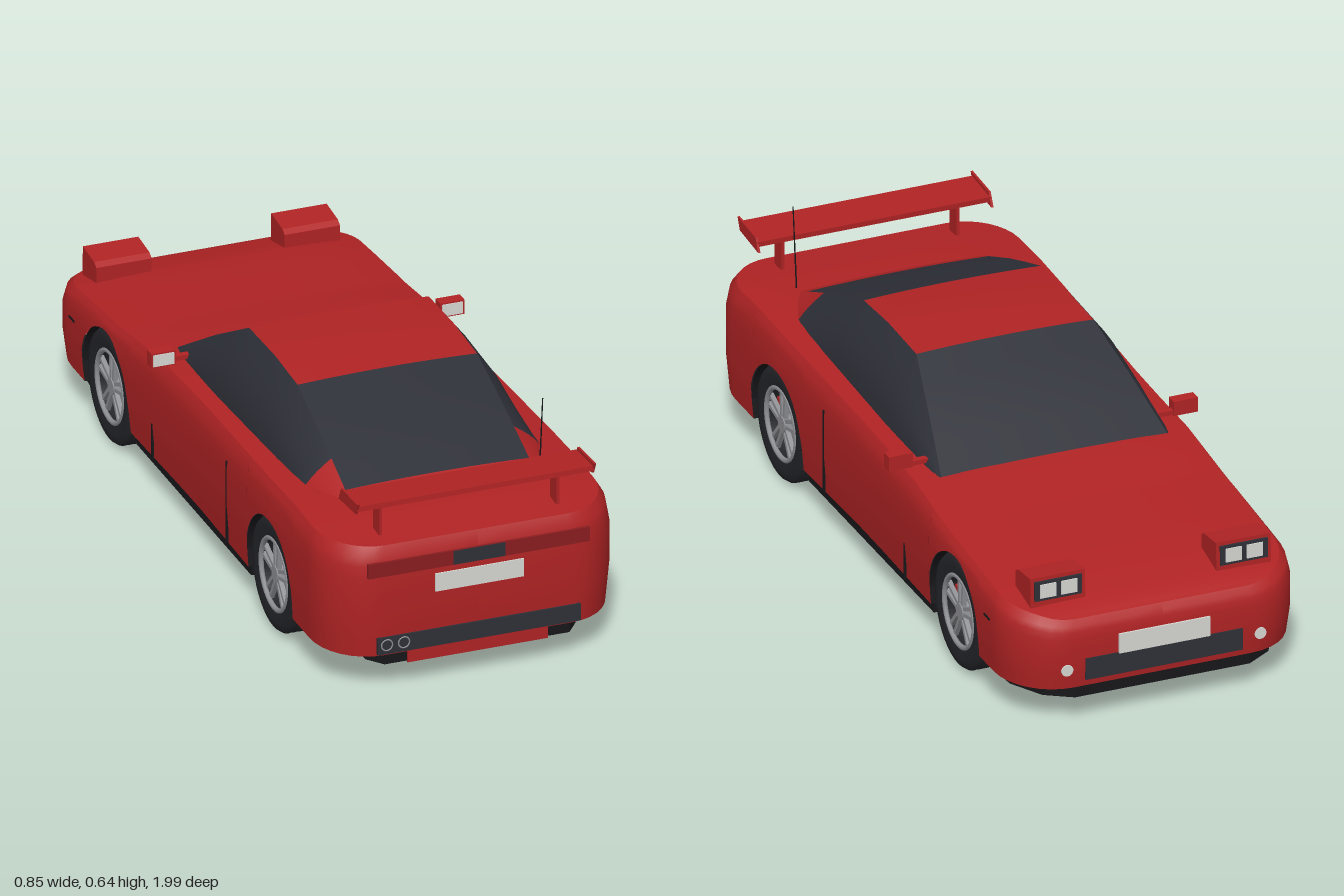
import * as THREE from 'three';

const mat = (name, color) => {
  const m = new THREE.MeshStandardMaterial({ color, side: THREE.DoubleSide });
  m.name = name;
  return m;
};

// linear interpolation in a small table of [position, value]
const at = (table, v) => {
  for (let i = 1; i < table.length; i++) {
    const [a, p] = table[i - 1], [b, q] = table[i];
    if (v <= b) return p + (q - p) * Math.max(0, (v - a) / (b - a));
  }
  return table[table.length - 1][1];
};

// smooth surface through rows of [x, y, z] points
function skin(rows) {
  const n = rows[0].length, index = [];
  for (let i = 0; i < rows.length - 1; i++) for (let j = 0; j < n - 1; j++) {
    const a = i * n + j, b = a + n;
    index.push(a, b, a + 1, b, b + 1, a + 1);
  }
  const g = new THREE.BufferGeometry();
  g.setAttribute('position', new THREE.Float32BufferAttribute(rows.flat(2), 3));
  g.setIndex(index);
  g.computeVertexNormals();
  return g;
}

const DECK = [[-0.995, 0.285], [-0.96, 0.3], [-0.82, 0.322], [-0.7, 0.333], [-0.5, 0.35], [-0.28, 0.38], [0.2, 0.395], [0.7, 0.41], [0.99, 0.402]];
const INSET = [[0, 0.008], [0.35, 0], [0.74, 0], [0.92, 0.008], [1, 0.022]];
const ROOF = [[-0.295, 0.385], [-0.13, 0.489], [0.02, 0.573], [0.2, 0.578], [0.36, 0.568], [0.56, 0.493], [0.72, 0.425], [0.76, 0.408]];
const ROOF_W = [[-0.295, 0.31], [0.02, 0.243], [0.36, 0.243], [0.76, 0.25]];
const BELT_W = [[-0.295, 0.325], [0, 0.33], [0.6, 0.325], [0.76, 0.27]];
const AXLES = [-0.58, 0.555], HUB = 0.153, ARCH = 0.158;

// half plan outline from nose to tail; b is the lower edge, which rises over the wheels
function outline() {
  const pts = [0, 0.08, 0.17].map(x => ({ x, z: -0.995, b: 0.1 }));
  const side = (z, b = 0.1, arch = false) => pts.push({ x: 0.392 + 0.01 * Math.min(1, Math.abs(z) / 0.55), z, b, arch });
  for (let k = 0; k <= 8; k++) {
    const a = k * Math.PI / 16;
    pts.push({ x: 0.25 + 0.152 * Math.sin(a), z: -0.83 - 0.165 * Math.cos(a), b: 0.1 });
  }
  AXLES.forEach((c, i) => {
    side(c - ARCH);
    for (let k = 0; k <= 20; k++) {
      const a = k * Math.PI / 20;
      side(c - ARCH * Math.cos(a), HUB + ARCH * Math.sin(a), true);
    }
    side(c + ARCH);
    if (i === 0) [-0.28, -0.1, 0.05, 0.2, 0.3].forEach(z => side(z));
  });
  for (let k = 8; k >= 0; k--) {
    const a = k * Math.PI / 16;
    pts.push({ x: 0.26 + 0.142 * Math.sin(a), z: 0.83 + 0.16 * Math.cos(a), b: 0.1 });
  }
  [0.17, 0.08, 0].forEach(x => pts.push({ x, z: 0.99, b: 0.1 }));
  return pts;
}

export function createModel() {
  const red = mat('body red', 0xb02324), glass = mat('dark glass', 0x2e3038), black = mat('underbody black', 0x17171a);
  const rubber = mat('tyre rubber', 0x242529), metal = mat('wheel metal', 0x8e8f93), white = mat('plate white', 0xd6d6d2);
  const tail = mat('tail light red', 0x8a1d1f);
  const car = new THREE.Group();
  car.name = 'car';
  const add = (name, geo, m, x = 0, y = 0, z = 0, parent = car) => {
    const mesh = new THREE.Mesh(geo, m);
    mesh.name = name;
    mesh.position.set(x, y, z);
    parent.add(mesh);
    return mesh;
  };
  const box = (name, w, h, d, m, x, y, z, parent) => add(name, new THREE.BoxGeometry(w, h, d), m, x, y, z, parent);

  // body shell: sides, bumpers, deck and floor share one outline
  const half = outline();
  const point = (p, t) => {
    const top = at(DECK, p.z), y = p.b + (top - p.b) * t;
    const inset = at(INSET, (y - 0.1) / (top - 0.1));
    return [p.x * (1 - inset / 0.4), y, p.z * (1 - inset)];
  };
  const levels = [0, 0.15, 0.35, 0.55, 0.74, 0.84, 0.92, 1];
  const loop = [...half.map(p => levels.map(t => point(p, t))),
    ...half.slice().reverse().map(p => levels.map(t => point(p, t)).map(([x, y, z]) => [-x, y, z]))];
  add('bodySides', skin(loop), red);
  const across = Array.from({ length: 13 }, (_, i) => i / 6 - 1);
  add('bonnetAndDeck', skin(half.map(p => {
    const [x, y, z] = point(p, 1), crown = 0.013 * Math.min(1, Math.max(0, 0.965 - Math.abs(z)) / 0.15);
    return across.map(s => [-x * s, y + crown * (1 - s ** 4), z]);
  })), red);
  add('floor', skin(half.map(p => {
    const x = p.arch ? 0.285 : p.x * 0.98;
    return [[-x, 0.1, p.z * 0.99], [x, 0.1, p.z * 0.99]];
  })), black);

  // underbody pan with wheel notches
  const edge = [[0.24, -0.985], [0.31, -0.94], [0.36, -0.85], [0.37, -0.75], [0.285, -0.74], [0.285, -0.42], [0.38, -0.41],
    [0.38, 0.385], [0.285, 0.395], [0.285, 0.93], [0.25, 0.975]];
  const plan = new THREE.Shape([...edge, ...edge.slice().reverse().map(([x, z]) => [-x, z])].map(([x, z]) => new THREE.Vector2(x, z)));
  add('underbodyPan', new THREE.ExtrudeGeometry(plan, { depth: 0.03, bevelEnabled: false }).rotateX(Math.PI / 2), black, 0, 0.1, 0);
  box('rearSkirt', 0.38, 0.034, 0.02, red, 0, 0.085, 0.972);

  // cabin
  const sideRow = z => Array.from({ length: 6 }, (_, i) => {
    const u = i / 5, low = at(DECK, z) - 0.004, high = Math.max(low, at(ROOF, z));
    const bulge = 0.018 * Math.sin(Math.PI * u) * (high - low) / 0.17;
    return [THREE.MathUtils.lerp(at(BELT_W, z), at(ROOF_W, z), u) + bulge, low + (high - low) * u, z];
  });
  const topRow = z => across.map(s => [-s * at(ROOF_W, z), at(ROOF, z) + 0.006 * (1 - s * s), z]);
  const frontZ = [-0.295, -0.21, -0.13, -0.05, 0.02], roofZ = [0.02, 0.11, 0.2, 0.28, 0.355];
  const rearZ = [0.355, 0.46, 0.56, 0.64, 0.7], pillarZ = [0.6, 0.64, 0.7, 0.76];
  add('windscreen', skin(frontZ.map(topRow)), glass);
  add('roof', skin(roofZ.map(topRow)), red);
  add('rearWindow', skin(rearZ.map(topRow)), glass);
  add('rearWindowSill', skin([0.7, 0.72, 0.76].map(topRow)), red);

  // wheel, built about its own axle with the outer face towards +x
  const tyreShape = [[0.098, 0.045], [0.125, 0.05], [0.146, 0.046], [0.153, 0.036]];
  [0.026, 0.009, -0.009, -0.026].forEach(x => tyreShape.push([0.153, x + 0.003], [0.146, x + 0.002], [0.146, x - 0.002], [0.153, x - 0.003]));
  tyreShape.push([0.153, -0.036], [0.146, -0.046], [0.125, -0.05], [0.098, -0.045], [0.098, 0.045]);
  const tyreGeo = new THREE.LatheGeometry(tyreShape.map(([r, x]) => new THREE.Vector2(r, x)), 40).rotateZ(-Math.PI / 2);
  const disc = (r, d, n = 28) => new THREE.CylinderGeometry(r, r, d, n).rotateZ(Math.PI / 2);
  const wheel = parent => {
    add('tyre', tyreGeo, rubber, 0, 0, 0, parent);
    add('rimBack', disc(0.098, 0.03), rubber, -0.02, 0, 0, parent);
    add('brakeDisc', disc(0.066, 0.008), metal, 0.001, 0, 0, parent);
    add('rimRing', new THREE.TorusGeometry(0.095, 0.007, 8, 40).rotateY(Math.PI / 2), metal, 0.042, 0, 0, parent);
    add('hub', disc(0.022, 0.03, 16), metal, 0.028, 0, 0, parent);
    box('brakeCaliper', 0.018, 0.05, 0.026, red, 0.014, 0.015, 0.06, parent);
    for (let k = 0; k < 5; k++) {
      const spoke = new THREE.Group();
      spoke.name = 'spoke';
      spoke.rotation.x = k * Math.PI * 2 / 5;
      [-1, 1].forEach(s => { box('spokeBar', 0.012, 0.082, 0.01, metal, 0.034, 0.054, s * 0.011, spoke).rotation.x = s * 0.1; });
      parent.add(spoke);
    }
  };

  // parts repeated on both sides
  const wellGeo = new THREE.CylinderGeometry(ARCH, ARCH, 0.15, 28, 1, true, 0, Math.PI).rotateZ(Math.PI / 2);
  for (const s of [1, -1]) {
    const side = new THREE.Group();
    side.name = s > 0 ? 'leftSide' : 'rightSide';
    side.scale.x = s;
    car.add(side);
    add('sideWindow', skin([...frontZ, 0.11, 0.2, 0.28, 0.355, 0.46, 0.56, 0.6].map(sideRow)), glass, 0, 0, 0, side);
    add('rearPillar', skin(pillarZ.map(sideRow)), red, 0, 0, 0, side);
    AXLES.forEach((z, i) => {
      add('wheelWell', wellGeo, black, 0.322, HUB, z, side);
      const w = new THREE.Group();
      w.name = i ? 'rearWheel' : 'frontWheel';
      w.position.set(0.341, HUB, z);
      wheel(w);
      side.add(w);
    });
    // door seams
    box('doorSeam', 0.006, 0.23, 0.005, black, 0.395, 0.22, 0.255, side);
    box('frontDoorSeam', 0.006, 0.1, 0.005, black, 0.395, 0.15, -0.26, side);
    box('sideMarker', 0.006, 0.006, 0.035, black, 0.401, 0.245, -0.8, side);
    // mirror
    box('mirrorArm', 0.07, 0.012, 0.018, red, 0.345, 0.4, -0.215, side);
    box('mirrorShell', 0.066, 0.04, 0.032, red, 0.391, 0.411, -0.21, side);
    box('mirrorGlass', 0.056, 0.032, 0.004, white, 0.391, 0.411, -0.193, side);
    // raised headlight
    const pod = new THREE.Shape([[0.815, 0.3], [0.815, 0.368], [0.83, 0.378], [0.908, 0.386], [0.912, 0.3]].map(([z, y]) => new THREE.Vector2(z, y)));
    add('headlightPod', new THREE.ExtrudeGeometry(pod, { depth: 0.15, bevelEnabled: false }).rotateY(Math.PI / 2), red, 0.18, 0, 0, side);
    box('headlightPanel', 0.13, 0.054, 0.006, glass, 0.255, 0.349, -0.911, side);
    [0.226, 0.284].forEach(x => box('headlightLens', 0.044, 0.038, 0.006, white, x, 0.349, -0.914, side));
    add('fogLight', new THREE.CylinderGeometry(0.016, 0.016, 0.012, 16).rotateX(Math.PI / 2), white, 0.265, 0.155, -0.99, side);
    // wing support and end plate
    box('wingSupport', 0.008, 0.1, 0.045, red, 0.24, 0.458, 0.9, side);
    const plate = new THREE.Shape([[-0.975, 0.532], [-0.86, 0.526], [-0.842, 0.49], [-0.96, 0.5]].map(([z, y]) => new THREE.Vector2(z, y)));
    add('wingEndPlate', new THREE.ExtrudeGeometry(plate, { depth: 0.006, bevelEnabled: false }).rotateY(Math.PI / 2), red, 0.317, 0, 0, side);
  }
  box('wingPlank', 0.64, 0.014, 0.115, red, 0, 0.512, 0.91).rotation.x = -0.06;

  // nose details
  box('frontGrille', 0.43, 0.06, 0.008, glass, 0, 0.15, -0.994);
  box('frontPlate', 0.25, 0.055, 0.008, white, 0, 0.205, -0.996);

  // tail details
  box('tailLightStrip', 0.6, 0.04, 0.009, tail, 0, 0.345, 0.986);
  box('tailStripCentre', 0.14, 0.038, 0.009, glass, 0, 0.345, 0.988);
  box('rearPlate', 0.24, 0.05, 0.008, white, 0, 0.285, 0.99);
  box('rearBumperInsert', 0.55, 0.047, 0.009, glass, 0, 0.13, 0.987);
  [-0.25, -0.204].forEach(x => add('exhaustRing', new THREE.TorusGeometry(0.015, 0.002, 6, 20), metal, x, 0.132, 0.992));

  // aerial
  add('aerial', new THREE.CylinderGeometry(0.0015, 0.002, 0.23, 6), black, 0.255, 0.523, 0.767).rotation.x = 0.1;
  return car;
}
